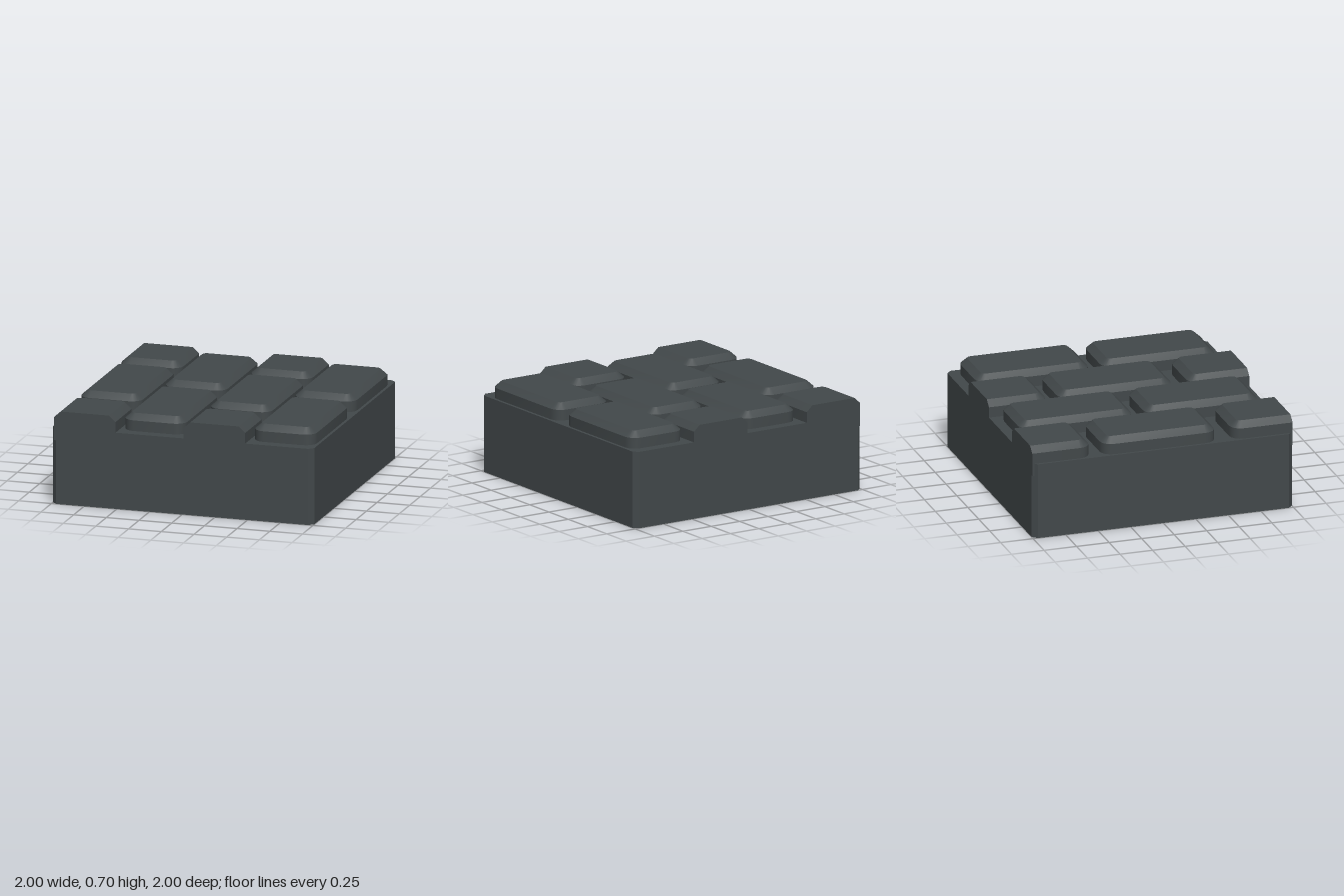
import * as THREE from 'three';
import { toCreasedNormals } from 'three/addons/utils/BufferGeometryUtils.js';

const EDGE = 1; // half width of the slab
const material = new THREE.MeshStandardMaterial({ color: 0x42484a });

// Rounded-rectangle ring at height y; sides lying on the slab edge stay straight and square.
function ring(x0, x1, z0, z1, inset, y) {
  const cutBack = z0 === -EDGE, cutFront = z1 === EDGE;
  const l = x0 + inset, r = x1 - inset;
  const b = cutBack ? z0 : z0 + inset, f = cutFront ? z1 : z1 - inset;
  const radius = 0.085 - inset, steps = 4;
  const corners = [[r, b, -1, 1, cutBack], [l, b, 1, 1, cutBack], [l, f, 1, -1, cutFront], [r, f, -1, -1, cutFront]];
  const points = [];
  corners.forEach(([x, z, sx, sz, square], k) => {
    if (square) return points.push([x, y, z]);
    for (let i = 0; i <= steps; i++) {
      const a = (k + i / steps) * Math.PI / 2;
      points.push([x + radius * (sx + Math.cos(a)), y, z + radius * (sz - Math.sin(a))]);
    }
  });
  return points;
}

// Chamfered paving stone lofted through three rings and capped at both ends.
function stoneGeometry(x0, x1, z0, z1) {
  const rings = [[0, 0.48], [0, 0.655], [0.05, 0.7]].map(([inset, y]) => ring(x0, x1, z0, z1, inset, y));
  const n = rings[0].length, top = rings[2], bottom = rings[0], pos = [];
  const tri = (...points) => points.forEach(p => pos.push(...p));
  const cx = (x0 + x1) / 2, cz = (z0 + z1) / 2;
  for (let i = 0; i < n; i++) {
    const j = (i + 1) % n;
    for (let k = 0; k < 2; k++) {
      const lo = rings[k], hi = rings[k + 1];
      tri(lo[i], lo[j], hi[j]);
      tri(lo[i], hi[j], hi[i]);
    }
    tri([cx, 0.7, cz], top[i], top[j]);
    tri([cx, 0.48, cz], bottom[j], bottom[i]);
  }
  const geometry = new THREE.BufferGeometry();
  geometry.setAttribute('position', new THREE.Float32BufferAttribute(pos, 3));
  return toCreasedNormals(geometry, 0.6);
}

export function createModel() {
  const model = new THREE.Group();
  model.name = 'pavingBlock';

  // Slab with small chamfers on its upright corners
  const c = EDGE - 0.036;
  const outline = new THREE.Shape([[1, -c], [1, c], [c, 1], [-c, 1], [-1, c], [-1, -c], [-c, -1], [c, -1]]
    .map(([x, y]) => new THREE.Vector2(x, y)));
  const slabGeometry = new THREE.ExtrudeGeometry(outline, { depth: 0.575, bevelEnabled: false });
  slabGeometry.rotateX(-Math.PI / 2);
  const slab = new THREE.Mesh(slabGeometry, material);
  slab.name = 'slab';
  model.add(slab);

  // Columns of stones in running bond: outer stones of alternate columns are cut at the slab edge
  const stones = new THREE.Group();
  stones.name = 'stones';
  const cutRows = [[-EDGE, -0.545], [-0.455, 0.42], [0.54, EDGE]];
  const fullRows = [[-0.92, -0.05], [0.045, 0.915]];
  for (let col = 0; col < 4; col++) {
    const x0 = -0.98 + col * 0.496;
    (col % 2 ? fullRows : cutRows).forEach(([z0, z1], row) => {
      const stone = new THREE.Mesh(stoneGeometry(x0, x0 + 0.47, z0, z1), material);
      stone.name = `stone_${col + 1}_${row + 1}`;
      stones.add(stone);
    });
  }
  model.add(stones);
  return model;
}
